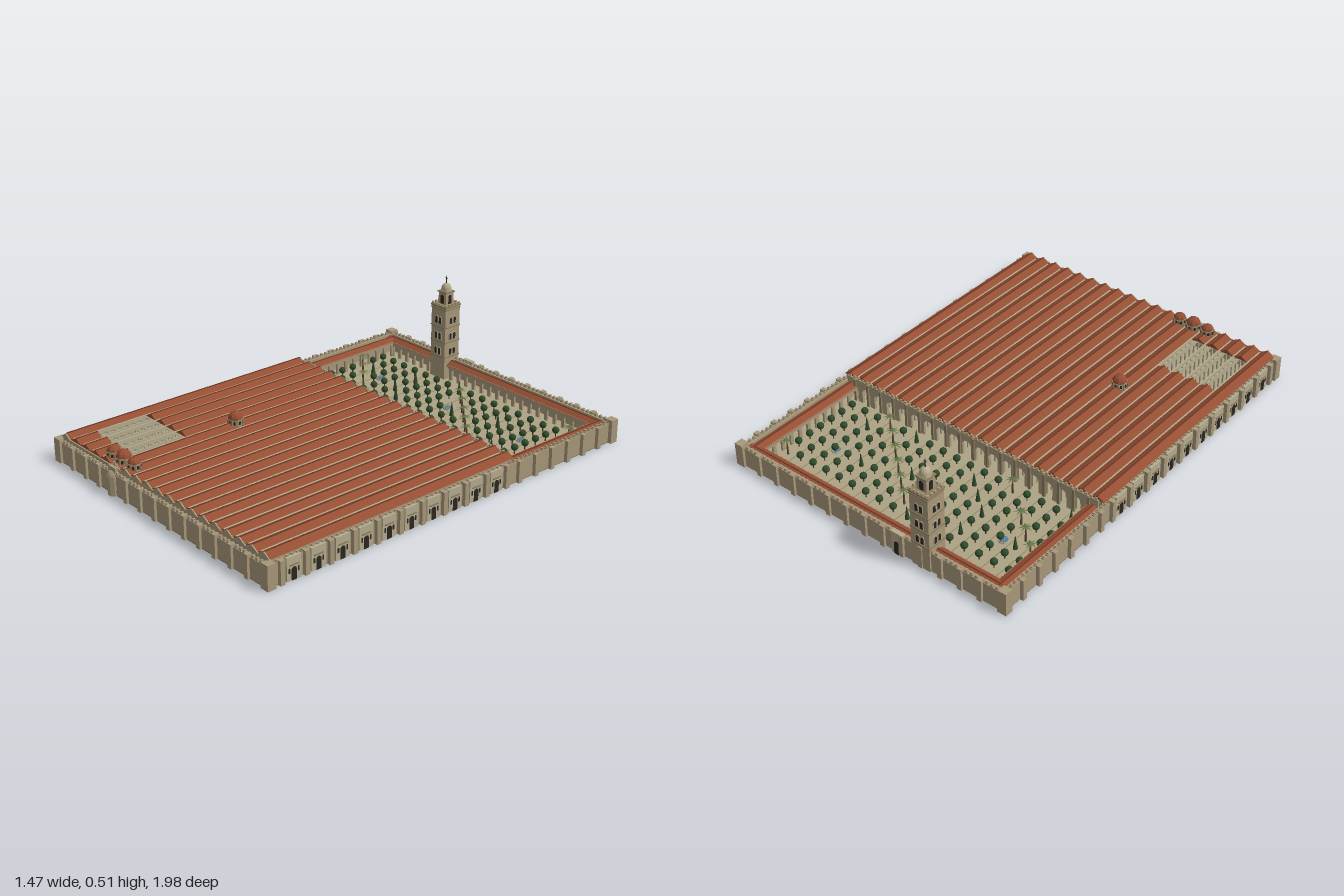
import * as THREE from 'three';
import { mergeGeometries } from 'three/addons/utils/BufferGeometryUtils.js';

const P = 0.0757;                 // nave width, also tree spacing
const W = 0.715, D = 0.975;       // half extents of the outer wall
const HALL_BACK = -0.34, HALL_FRONT = 0.955;
const TX = -4 * P, TZ = -0.935;   // tower centre; its x is also the niche axis

const COLORS = {
  stone: 0xa8987a, paleStone: 0xb5ab8e, trim: 0x8c7d5e, roof: 0x944e33, ridge: 0x6f3824,
  dark: 0x2b2620, floor: 0xada284, leaf: 0x2f4a2c, palm: 0x66744a, trunk: 0x5c4630, water: 0x55809a,
};

export function createModel() {
  const model = new THREE.Group();
  const parts = {};

  // Collects pieces of one named part; they are merged at the end
  function add(name, color, geo, x = 0, y = 0, z = 0, ry = 0) {
    const g = geo.index ? geo.toNonIndexed() : geo.clone();
    g.deleteAttribute('uv');
    g.rotateY(ry).translate(x, y, z);
    (parts[name] ??= { color, list: [] }).list.push(g);
  }
  const box = (w, h, d) => new THREE.BoxGeometry(w, h, d).translate(0, h / 2, 0);
  const cyl = (r0, r1, h, n) => new THREE.CylinderGeometry(r0, r1, h, n).translate(0, h / 2, 0);
  const dome = (r, h, n) => new THREE.SphereGeometry(r, n, 5, 0, Math.PI * 2, 0, Math.PI / 2).scale(1, h / r, 1);
  const extrude = (shape, depth, seg = 4) =>
    new THREE.ExtrudeGeometry(shape, { depth, bevelEnabled: false, curveSegments: seg }).translate(0, 0, -depth / 2);

  // Solid panel with a round top
  function archPanel(w, h, depth) {
    const r = w / 2, s = new THREE.Shape();
    s.moveTo(-r, 0).lineTo(r, 0).lineTo(r, h - r);
    s.absarc(0, h - r, r, 0, Math.PI, false);
    return extrude(s, depth, 8);
  }
  // Wall along x pierced by n horseshoe arches, optionally with a second tier
  function arcade(length, height, n, r, spring, depth, upper = 0) {
    const s = new THREE.Shape(), pitch = length / n, a = 0.35, jamb = r * Math.cos(a);
    s.moveTo(-length / 2, 0);
    for (let i = 0; i < n; i++) {
      const c = -length / 2 + (i + 0.5) * pitch;
      s.lineTo(c - jamb, 0);
      s.absarc(c, spring + r * Math.sin(a), r, Math.PI + a, -a, true);
      s.lineTo(c + jamb, 0);
      if (upper) {
        const hole = new THREE.Path();
        hole.absarc(c, upper, r * 0.9, 0, Math.PI, false);
        s.holes.push(hole);
      }
    }
    s.lineTo(length / 2, 0).lineTo(length / 2, height).lineTo(-length / 2, height);
    return extrude(s, depth);
  }
  // Gabled prism along z
  function gable(w, y0, y1, length) {
    const s = new THREE.Shape();
    s.moveTo(-w / 2, y0).lineTo(w / 2, y0).lineTo(0, y1);
    return extrude(s, length);
  }

  // Ground slab and paving
  add('foundation', COLORS.trim, box(2 * W, 0.004, 2 * D));
  add('floor', COLORS.floor, box(2 * W - 0.02, 0.002, 2 * D - 0.02), 0, 0.004, 0);

  // Outer walls with stepped merlons
  for (const s of [-1, 1]) {
    add('outerWall', COLORS.stone, box(0.022, 0.094, 2 * D), s * (W - 0.011), 0, 0);
    add('outerWall', COLORS.stone, box(2 * W, 0.094, 0.022), 0, 0, s * (D - 0.011));
    for (let i = -38; i <= 38; i++) {
      const z = i * 0.025;
      add('merlons', COLORS.stone, box(0.012, 0.006, 0.016), s * (W - 0.008), 0.094, z);
      add('merlons', COLORS.stone, box(0.012, 0.006, 0.008), s * (W - 0.008), 0.1, z);
    }
    for (let i = -28; i <= 28; i++) {
      add('merlons', COLORS.stone, box(0.016, 0.006, 0.012), i * 0.025, 0.094, s * (D - 0.008));
      add('merlons', COLORS.stone, box(0.008, 0.006, 0.012), i * 0.025, 0.1, s * (D - 0.008));
    }
    // Buttresses
    for (let i = -7; i <= 7; i++)
      add('buttresses', COLORS.stone, box(0.022, 0.105, 0.022), i * 0.1, 0, s * (D + 0.001));
    for (let z = -0.97; z < -0.35; z += 0.1)
      add('buttresses', COLORS.stone, box(0.022, 0.1, 0.022), s * (W + 0.006), 0, z);
    for (let i = 0; i < 11; i++)
      add('buttresses', COLORS.stone, box(0.026, 0.105, 0.022), s * (W + 0.004), 0, 0.913 - i * 0.1205);
    // Corner turrets
    for (const t of [-1, 1]) add('cornerTurrets', COLORS.stone, box(0.04, 0.11, 0.04), s * (W - 0.002), 0, t * (D - 0.008));
    // Side portals: frame, doorway, flanking windows and upper grille
    for (let i = 0; i < 10; i++) {
      const z = 0.853 - i * 0.1205, ry = s * Math.PI / 2;
      add('portals', COLORS.paleStone, box(0.07, 0.1, 0.016), s * W, 0, z, ry);
      add('doorways', COLORS.dark, archPanel(0.024, 0.056, 0.006), s * (W + 0.007), 0, z, ry);
      add('portalTrim', COLORS.trim, box(0.046, 0.005, 0.01), s * (W + 0.008), 0.064, z, ry);
      for (const t of [-1, 1])
        add('doorways', COLORS.dark, archPanel(0.008, 0.022, 0.004), s * (W + 0.007), 0.032, z + t * 0.022, ry);
    }
  }
  // Gate through the back wall
  add('portals', COLORS.paleStone, box(0.06, 0.108, 0.02), -0.18, 0, -D);
  add('doorways', COLORS.dark, archPanel(0.03, 0.065, 0.024), -0.18, 0, -D);

  // Prayer hall: side walls, arcades and a row of gabled roofs
  const hallLen = HALL_FRONT - HALL_BACK, hallMid = (HALL_FRONT + HALL_BACK) / 2;
  const cut = { from: 0.57, to: 0.845 };
  for (const s of [-1, 1]) add('hallWalls', COLORS.stone, box(0.02, 0.118, hallLen), s * 0.692, 0, hallMid);
  add('hallWalls', COLORS.stone, box(1.4, 0.118, 0.012), 0, 0, HALL_FRONT);
  const aisle = arcade(hallLen - 0.02, 0.118, 36, 0.0145, 0.05, 0.007, 0.09);
  for (let k = -8.5; k <= 8.5; k++) add('aisleArcades', COLORS.paleStone, aisle, k * P, 0.004, hallMid, Math.PI / 2);
  for (let k = -9; k <= 9; k++) {
    const open = k >= -8 && k <= -5;
    const w = Math.abs(k) === 9 ? P * 0.92 : P, x = Math.sign(k) * Math.min(Math.abs(k) * P, 0.678);
    const spans = open ? [[HALL_BACK, cut.from], [cut.to, HALL_FRONT]] : [[HALL_BACK, HALL_FRONT]];
    for (const [a, b] of spans) {
      add('naveRoofs', COLORS.roof, gable(w, 0.118, 0.139, b - a), x, 0, (a + b) / 2);
      add('roofRidges', COLORS.ridge, box(0.005, 0.003, b - a), x, 0.1375, (a + b) / 2);
    }
    if (!open) add('frontGables', COLORS.stone, gable(w, 0.116, 0.138, 0.008), x, 0, HALL_FRONT + 0.002);
  }
  for (let k = -8.5; k <= 8.5; k++) {
    const spans = k >= -8.5 && k <= -4.5 ? [[HALL_BACK, cut.from], [cut.to, HALL_FRONT]] : [[HALL_BACK, HALL_FRONT]];
    for (const [a, b] of spans) add('roofGutters', COLORS.ridge, box(0.007, 0.004, b - a), k * P, 0.117, (a + b) / 2);
  }

  // Courtyard front of the hall, arches framed by piers
  add('courtFacade', COLORS.stone, arcade(19 * P - 0.06, 0.118, 19, 0.025, 0.05, 0.012), 0, 0.004, HALL_BACK - 0.002);
  for (let k = -8.5; k <= 8.5; k++) add('facadePiers', COLORS.trim, box(0.012, 0.12, 0.012), k * P, 0, HALL_BACK - 0.008);
  for (let i = -27; i <= 27; i++) add('facadeMerlons', COLORS.stone, box(0.013, 0.011, 0.008), i * 0.025, 0.12, HALL_BACK - 0.002);

  // Courtyard galleries with low tiled roofs
  const sideLen = 0.56, sideMid = -0.625;
  for (const s of [-1, 1]) {
    add('galleries', COLORS.stone, arcade(sideLen, 0.076, 11, 0.018, 0.04, 0.01), s * 0.641, 0.004, sideMid, Math.PI / 2);
    add('galleryRoofs', COLORS.roof, gable(0.068, 0.078, 0.094, 0.62), s * 0.668, 0, -0.65);
    add('roofRidges', COLORS.ridge, box(0.005, 0.003, 0.6), s * 0.668, 0.092, -0.645);
  }
  add('galleries', COLORS.stone, arcade(1.28, 0.076, 25, 0.018, 0.04, 0.01), 0, 0.004, -0.91);
  add('galleryRoofs', COLORS.roof, gable(0.066, 0.078, 0.094, 1.39), 0, 0, -0.936, Math.PI / 2);
  add('roofRidges', COLORS.ridge, box(1.34, 0.003, 0.005), 0, 0.092, -0.936);

  // Bell tower: shaft, cornice, lantern, dome and finial
  add('towerShaft', COLORS.stone, box(0.094, 0.37, 0.094), TX, 0, TZ);
  for (const y of [0.115, 0.19, 0.265, 0.355]) add('towerCornices', COLORS.trim, box(0.099, 0.005, 0.099), TX, y, TZ);
  add('towerCornices', COLORS.paleStone, box(0.102, 0.008, 0.102), TX, 0.366, TZ);
  add('lantern', COLORS.stone, box(0.05, 0.058, 0.05), TX, 0.374, TZ);
  add('towerCornices', COLORS.paleStone, box(0.058, 0.006, 0.058), TX, 0.432, TZ);
  add('towerDome', COLORS.paleStone, cyl(0.024, 0.026, 0.012, 8), TX, 0.438, TZ);
  add('towerDome', COLORS.paleStone, dome(0.024, 0.026, 12), TX, 0.45, TZ);
  add('finial', COLORS.dark, cyl(0.002, 0.003, 0.038, 6), TX, 0.474, TZ);
  add('finial', COLORS.dark, box(0.014, 0.003, 0.003), TX, 0.499, TZ);
  for (let f = 0; f < 4; f++) {
    const a = f * Math.PI / 2, c = Math.cos(a), s = Math.sin(a);
    const onFace = (name, color, geo, u, y, out) =>
      add(name, color, geo, TX + c * u + s * out, y, TZ - s * u + c * out, a);
    for (const y of [0.128, 0.205, 0.285]) for (const u of [-0.012, 0.012]) {
      onFace('towerWindowFrames', COLORS.paleStone, archPanel(0.021, 0.04, 0.003), u, y - 0.003, 0.0475);
      onFace('towerWindows', COLORS.dark, archPanel(0.014, 0.032, 0.003), u, y, 0.0485);
    }
    onFace('towerWindows', COLORS.dark, archPanel(0.02, 0.044, 0.003), 0, 0.378, 0.0255);
    for (let i = -2; i <= 2; i++) onFace('towerMerlons', COLORS.stone, box(0.01, 0.009, 0.008), i * 0.0205, 0.374, 0.045);
  }

  // Octagonal lantern domes over the roofs, with ribs
  function roofDome(x, z, r, top) {
    add('domeDrums', COLORS.stone, cyl(r, r, 0.035, 8), x, 0.117, z, Math.PI / 8);
    add('domeDrums', COLORS.trim, cyl(r * 1.08, r * 1.08, 0.004, 8), x, 0.15, z, Math.PI / 8);
    add('roofDomes', COLORS.roof, dome(r, top - 0.153, 8), x, 0.153, z, Math.PI / 8);
    for (let i = 0; i < 8; i++) {
      const a = i * Math.PI / 4, d = r * 0.93;
      add('drumWindows', COLORS.dark, archPanel(0.01, 0.016, 0.003), x + Math.sin(a) * d, 0.132, z + Math.cos(a) * d, a);
      const b = a + Math.PI / 8;
      add('drumPiers', COLORS.trim, box(0.006, 0.038, 0.006), x + Math.sin(b) * r, 0.117, z + Math.cos(b) * r, b);
    }
    add('domeFinials', COLORS.roof, cyl(0.001, 0.004, 0.007, 6), x, top - 0.002, z);
  }
  roofDome(TX, 0.335, 0.034, 0.186);
  roofDome(TX, 0.915, 0.034, 0.186);
  for (const s of [-1, 1]) roofDome(TX + s * P, 0.915, 0.029, 0.178);

  // Prayer niche projecting from the front wall
  add('nicheBlock', COLORS.stone, box(0.05, 0.126, 0.03), TX, 0, 0.962);
  add('nicheApse', COLORS.stone, cyl(0.026, 0.026, 0.085, 8), TX, 0, 0.972, Math.PI / 8);
  add('nicheApse', COLORS.trim, cyl(0.028, 0.028, 0.004, 8), TX, 0.083, 0.972, Math.PI / 8);
  add('nicheApse', COLORS.paleStone, dome(0.026, 0.022, 8), TX, 0.087, 0.972, Math.PI / 8);

  // Courtyard planting: orange trees, cypresses and palms on a grid
  const palms = ['0,2', '1,3', '2,4', '4,6', '8,1', '9,2', '10,3', '11,4', '12,5', '13,6', '16,0'];
  const cypresses = ['7,0', '4,1', '1,2', '12,2', '4,3', '9,3', '5,4', '6,5', '14,5', '0,6', '11,6'];
  const crown = new THREE.IcosahedronGeometry(0.0165, 1);
  const frond = new THREE.ConeGeometry(0.006, 0.036, 4).scale(1, 1, 0.4)
    .rotateX(Math.PI / 2 + 0.25).translate(0, 0, 0.016);
  for (let i = 0; i < 17; i++) for (let j = 0; j < 7; j++) {
    const x = (i - 8) * P, z = -0.811 + j * 0.0663, key = `${i},${j}`;
    if (key === '8,2') continue;
    if (palms.includes(key)) {
      add('trunks', COLORS.trunk, cyl(0.003, 0.005, 0.075, 6), x, 0.004, z);
      for (let f = 0; f < 8; f++) add('palmFronds', COLORS.palm, frond, x, 0.079, z, f * Math.PI / 4);
    } else if (cypresses.includes(key)) {
      add('trunks', COLORS.trunk, cyl(0.003, 0.003, 0.01, 5), x, 0.004, z);
      add('cypresses', COLORS.leaf, cyl(0.001, 0.011, 0.065, 7), x, 0.012, z);
    } else {
      add('trunks', COLORS.trunk, cyl(0.003, 0.003, 0.025, 5), x, 0.004, z);
      add('treeCrowns', COLORS.leaf, crown, x, 0.038, z);
    }
  }
  // Fountains and water channels
  for (const x of [-0.46, 0, 0.46]) {
    add('fountainBasins', COLORS.paleStone, cyl(0.023, 0.025, 0.009, 8), x, 0.004, -0.665);
    add('fountainWater', COLORS.water, cyl(0.02, 0.02, 0.002, 8), x, 0.012, -0.665);
    add('fountainBasins', COLORS.paleStone, cyl(0.004, 0.003, 0.018, 6), x, 0.01, -0.665);
  }
  for (let k = -7.5; k <= 7.5; k++)
    add('channels', k % 2 > 0.6 ? COLORS.water : COLORS.trim, box(0.003, 0.0015, 0.47), k * P, 0.0055, -0.612);

  for (const [name, { color, list }] of Object.entries(parts)) {
    const mat = new THREE.MeshStandardMaterial({ color, flatShading: true });
    const mesh = new THREE.Mesh(mergeGeometries(list), mat);
    mesh.name = name;
    model.add(mesh);
  }
  return model;
}
